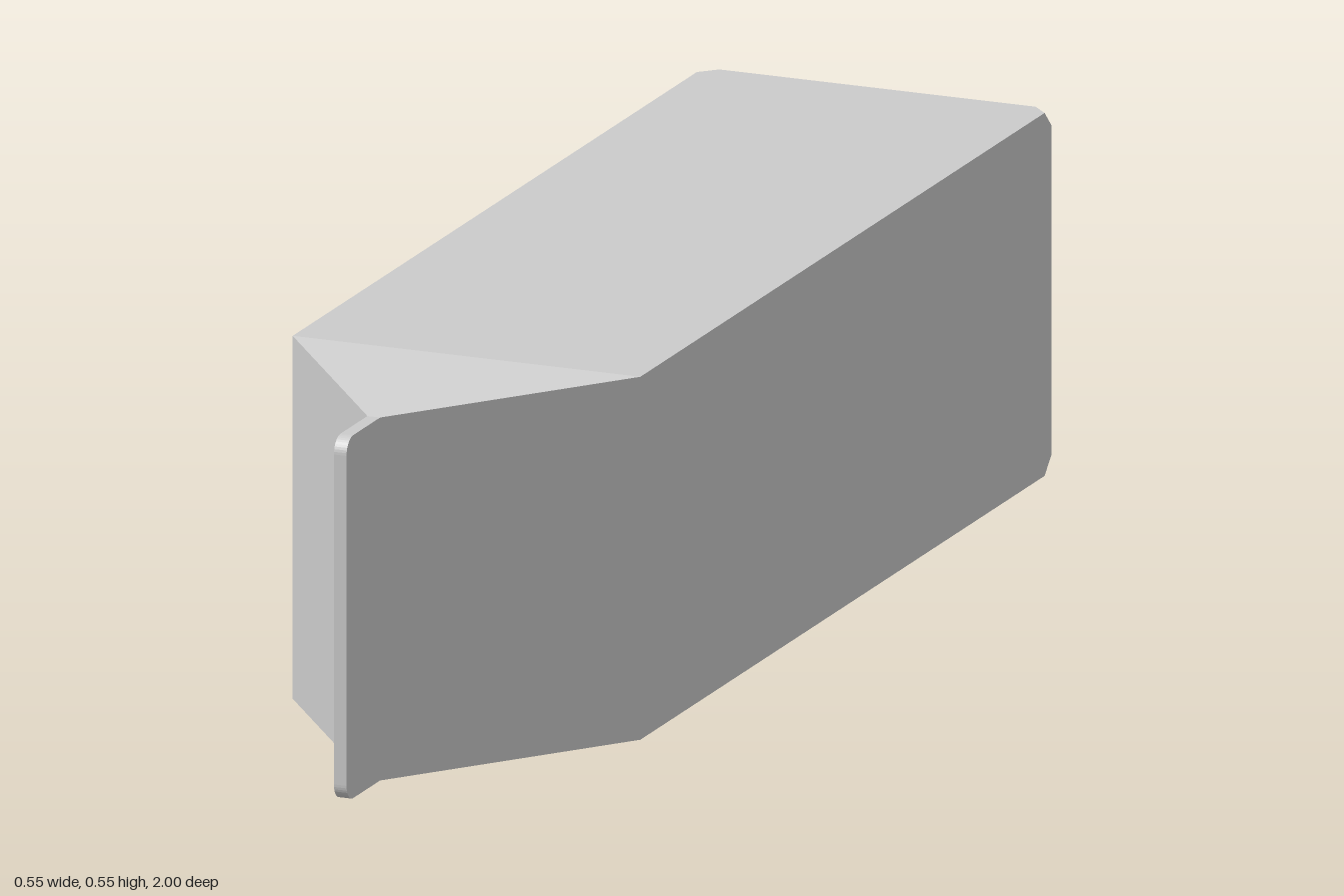
import * as THREE from 'three';

const H = 0.275;      // half width and half height
const BACK = -1;      // flat end
const FOLD = 0.53;    // where the sloping panels begin
const SEAL = 0.875;   // where the panels meet the seal
const TIP = 1;
const T = 0.01;       // half thickness of the seal
const C = 0.025;      // corner cut / rounding
const D = 0.125;      // depth of the tucked-in gussets

// Polygons of one quarter (x >= 0, y >= 0), mirrored into all four quarters
function quarterMirrored(polygons) {
  const pos = [];
  for (const sx of [1, -1]) for (const sy of [1, -1]) {
    for (const poly of polygons) {
      const p = poly.map(([x, y, z]) => [x * sx, y * sy + H, z]);
      if (sx * sy < 0) p.reverse();
      for (let i = 1; i < p.length - 1; i++) pos.push(...p[0], ...p[i], ...p[i + 1]);
    }
  }
  const g = new THREE.BufferGeometry();
  g.setAttribute('position', new THREE.Float32BufferAttribute(pos, 3));
  g.computeVertexNormals();
  return g;
}

export function createModel() {
  const group = new THREE.Group();
  group.name = 'carton';
  const material = new THREE.MeshStandardMaterial({ color: 0xcccccc, flatShading: true });
  const add = (name, geometry) => {
    const mesh = new THREE.Mesh(geometry, material);
    mesh.name = name;
    group.add(mesh);
  };

  // Box body with its back corners cut off
  add('body', quarterMirrored([
    [[H, 0, BACK], [H, H - C, BACK], [H, H, BACK + C], [H, H, FOLD], [H, 0, FOLD]],
    [[0, H, BACK], [0, H, FOLD], [H, H, FOLD], [H, H, BACK + C], [H - C, H, BACK]],
    [[0, 0, BACK], [0, H, BACK], [H - C, H, BACK], [H, H - C, BACK], [H, 0, BACK]],
    [[H, H - C, BACK], [H - C, H, BACK], [H, H, BACK + C]],
  ]));

  // Sloping panels that close towards the seal
  add('slopingPanels', quarterMirrored([
    [[H, 0, FOLD], [H, H, FOLD], [T, H, SEAL], [T, 0, SEAL]],
  ]));

  // Tucked-in triangles and the flaps folded behind the panels
  add('gussets', quarterMirrored([
    [[0, H, FOLD], [0, H - D, SEAL], [H, H, FOLD]],
    [[H, H, FOLD], [0, H - D, SEAL], [T, H, SEAL]],
  ]));

  // Thin upright seal with rounded front corners
  const s = new THREE.Shape();
  s.moveTo(SEAL, 0);
  s.lineTo(TIP - C, 0);
  s.absarc(TIP - C, C, C, -Math.PI / 2, 0);
  s.lineTo(TIP, 2 * H - C);
  s.absarc(TIP - C, 2 * H - C, C, 0, Math.PI / 2);
  s.lineTo(SEAL, 2 * H);
  s.closePath();
  const seal = new THREE.ExtrudeGeometry(s, { depth: 2 * T, bevelEnabled: false, curveSegments: 5 });
  seal.translate(0, 0, -T).rotateY(-Math.PI / 2);
  add('seal', seal);

  return group;
}
